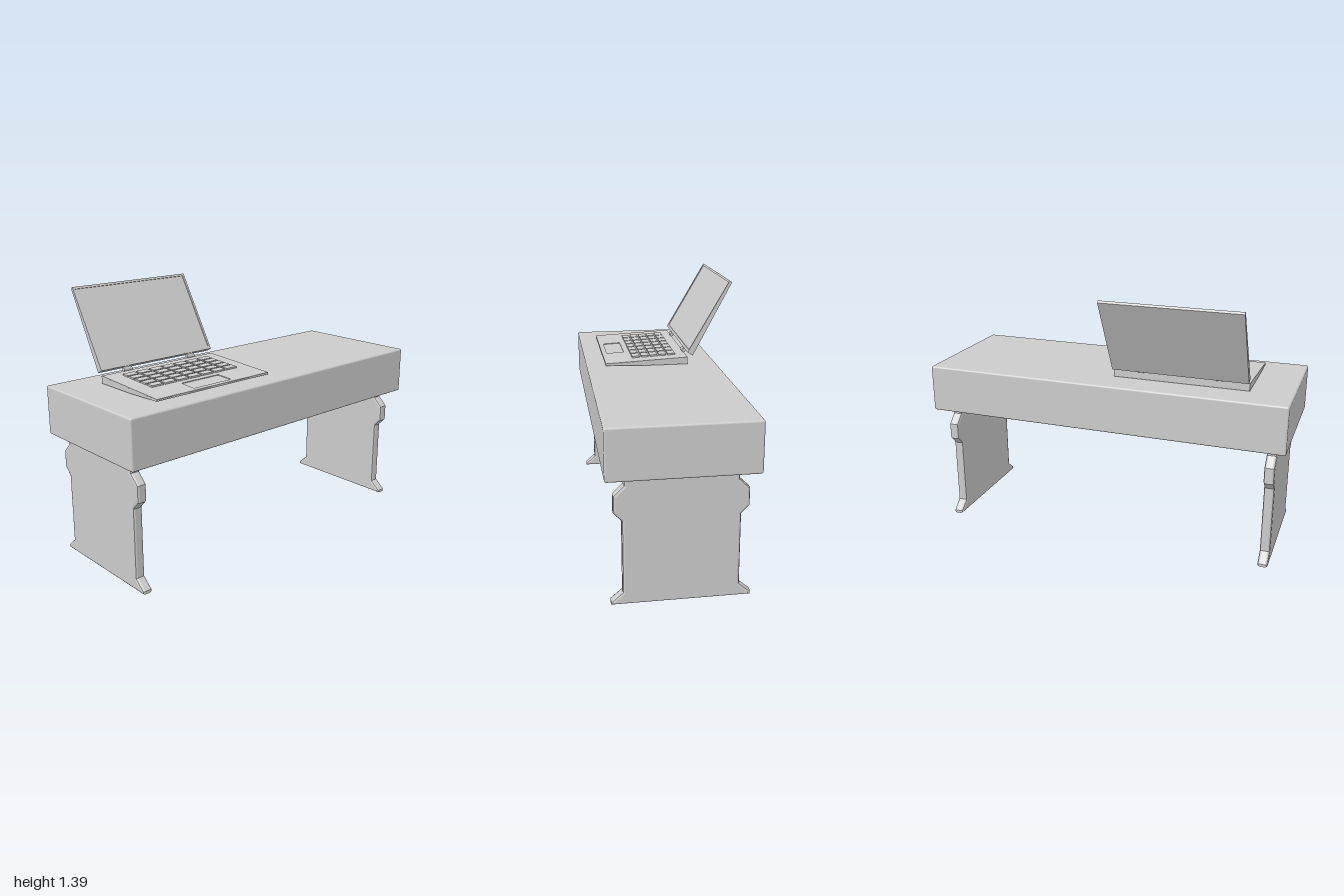
import * as THREE from 'three';
import { RoundedBoxGeometry } from 'three/addons/geometries/RoundedBoxGeometry.js';

const grey = new THREE.MeshStandardMaterial({ color: 0xcccccc });

function add(parent, name, geometry, x = 0, y = 0, z = 0) {
  const mesh = new THREE.Mesh(geometry, grey);
  mesh.name = name;
  mesh.position.set(x, y, z);
  parent.add(mesh);
  return mesh;
}

function outline(points) {
  return new THREE.Shape(points.map(([x, y]) => new THREE.Vector2(x, y)));
}

const rect = (x0, y0, x1, y1) => [[x0, y0], [x1, y0], [x1, y1], [x0, y1]];

// xy profile extruded along z, centred on z = 0
function prism(points, width) {
  const g = new THREE.ExtrudeGeometry(outline(points), { depth: width, bevelEnabled: false });
  return g.translate(0, 0, -width / 2);
}

// flat plate with a rectangular opening
function plate(outer, hole, depth) {
  const shape = outline(outer);
  shape.holes.push(outline(hole));
  return new THREE.ExtrudeGeometry(shape, { depth, bevelEnabled: false });
}

function buildDesk() {
  const desk = new THREE.Group();
  desk.name = 'desk';
  desk.position.x = 0.037;
  add(desk, 'deskTop', new RoundedBoxGeometry(0.735, 0.26, 2, 2, 0.01), 0, 0.79, 0);

  // half profile of a leg panel as [half width, height], mirrored in x
  const half = [
    [0.342, 0], [0.342, 0.016], [0.285, 0.065], [0.285, 0.435], [0.325, 0.477],
    [0.325, 0.565], [0.274, 0.615], [0.274, 0.675],
  ];
  const profile = [...half, ...half.map(([x, y]) => [-x, y]).reverse()];
  const bevel = 0.013;
  const legGeometry = new THREE.ExtrudeGeometry(outline(profile), {
    depth: 0.055 - 2 * bevel, bevelThickness: bevel, bevelSize: bevel,
    bevelOffset: -bevel, bevelSegments: 2,
  });
  legGeometry.translate(0, 0, bevel - 0.0275);
  for (const z of [0.919, -0.909]) {
    add(desk, 'legPanel', legGeometry, 0, 0, z);
    add(desk, 'legCap', new THREE.BoxGeometry(0.57, 0.012, 0.072), 0, 0.658, z);
  }
  return desk;
}

function buildLaptop() {
  const laptop = new THREE.Group();
  laptop.name = 'laptop';
  laptop.position.z = 0.405;
  const width = 0.737;

  // wedge-shaped base
  add(laptop, 'laptopBase', prism(
    [[-0.163, 0.923], [0.08, 0.923], [0.302, 0.93], [0.302, 0.937], [-0.163, 0.959]], width));
  for (const z of [-0.25, 0.25]) {
    add(laptop, 'foot', new THREE.BoxGeometry(0.19, 0.006, 0.03), 0, 0.921, z);
  }

  // sloping deck with a sunken trackpad
  const deck = new THREE.Group();
  deck.name = 'deck';
  deck.position.set(-0.163, 0.959, 0);
  deck.rotation.z = -0.047;
  laptop.add(deck);
  const deckGeometry = plate(
    rect(0, -width / 2, 0.465, width / 2), rect(0.338, -0.118, 0.438, 0.127), 0.004);
  add(deck, 'deckPlate', deckGeometry.rotateX(-Math.PI / 2));

  // keys
  const keyGeometry = new THREE.BoxGeometry(0.042, 0.01, 0.071);
  for (let col = 0; col < 5; col++) {
    for (let row = 0; row < 7; row++) {
      add(deck, 'key', keyGeometry, 0.079 + col * 0.0515, 0.0075, -0.251 + row * 0.0822);
    }
  }

  // hinges
  const barrel = new THREE.CylinderGeometry(0.011, 0.011, 0.05, 12).rotateX(Math.PI / 2);
  for (const z of [-0.215, 0.208]) {
    add(laptop, 'hinge', barrel, -0.164, 0.972, z);
    const arm = add(laptop, 'hingeArm', new THREE.BoxGeometry(0.012, 0.03, 0.042), -0.172, 0.983, z);
    arm.rotation.z = 0.532;
  }

  // tilted, tapering lid with a raised border round the display
  const lid = new THREE.Group();
  lid.name = 'lid';
  lid.position.set(-0.163, 0.989, 0);
  lid.rotation.z = 0.532;
  laptop.add(lid);
  add(lid, 'lidShell', prism(
    [[-0.005, 0], [-0.005, 0.465], [-0.015, 0.462], [-0.035, 0]], width));
  const w = width / 2;
  const border = plate(rect(-w, 0, w, 0.465), rect(-w + 0.012, 0.016, w - 0.012, 0.453), 0.005);
  add(lid, 'displayBorder', border.rotateY(Math.PI / 2), -0.005, 0, 0);
  return laptop;
}

export function createModel() {
  const model = new THREE.Group();
  model.name = 'deskWithLaptop';
  model.add(buildDesk(), buildLaptop());
  return model;
}
